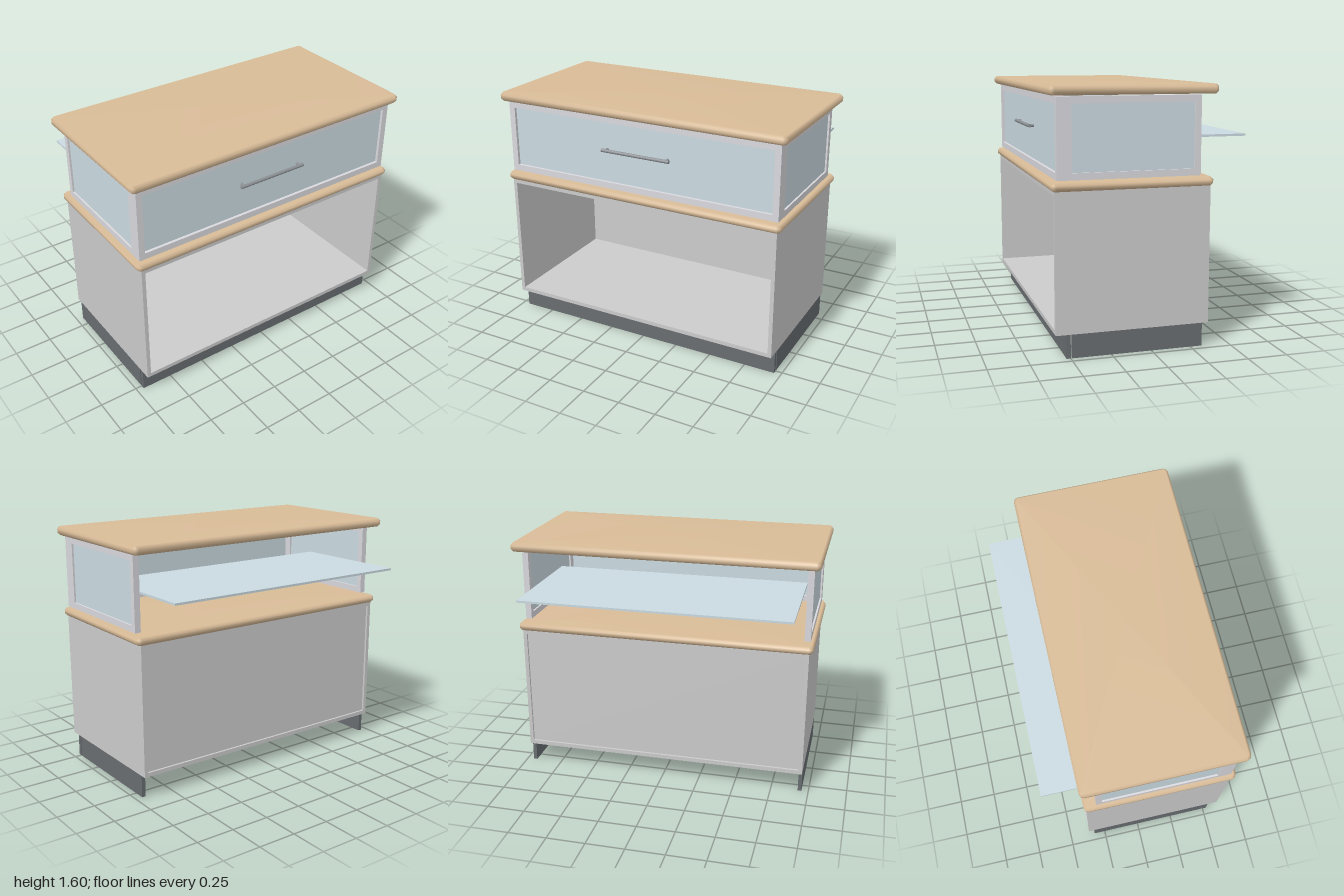
import * as THREE from 'three';
import { mergeVertices } from 'three/addons/utils/BufferGeometryUtils.js';

const mat = (color, side = THREE.FrontSide) => new THREE.MeshStandardMaterial({ color, side });
const wood = mat(0xd9bc98);
const body = mat(0xcccccc);
const frame = mat(0xd9d9de);
const glass = mat(0xcbdbe1);
const plinth = mat(0x686d70);
const steel = mat(0x8c9094);

// Box given by its limits on each axis
function box(parent, name, material, [x0, x1], [y0, y1], [z0, z1]) {
  const mesh = new THREE.Mesh(new THREE.BoxGeometry(x1 - x0, y1 - y0, z1 - z0), material);
  mesh.position.set((x0 + x1) / 2, (y0 + y1) / 2, (z0 + z1) / 2);
  mesh.name = name;
  parent.add(mesh);
  return mesh;
}

// Same box on the left (+x) and mirrored on the right (-x)
function pair(parent, name, material, [x0, x1], y, z) {
  box(parent, 'left' + name, material, [x0, x1], y, z);
  box(parent, 'right' + name, material, [-x1, -x0], y, z);
}

// Softly shaded board with rounded corners and chamfered edges:
// a 12-sided lathe whose quarter turns are pushed out to the four corners
function board(parent, name, halfW, [y0, y1], [z0, z1]) {
  const R = 0.03, c = 0.016;
  const profile = [[0, y0], [R - c, y0], [R, y0 + c], [R, y1 - c], [R - c, y1], [0, y1]]
    .map(([r, y]) => new THREE.Vector2(r, y));
  const geo = new THREE.LatheGeometry(profile, 12);
  const pos = geo.attributes.position;
  const halfD = (z1 - z0) / 2;
  for (let v = 0; v < pos.count; v++) {
    const i = Math.floor(v / profile.length) % 12;
    const p = profile[v % profile.length];
    const quarter = Math.floor(i / 3);
    const a = (quarter + (i % 3) / 2) * Math.PI / 2;
    const sx = quarter < 2 ? 1 : -1;
    const sz = quarter === 0 || quarter === 3 ? 1 : -1;
    const on = p.x > 0 ? 1 : 0;
    pos.setXYZ(v,
      on * sx * (halfW - R) + p.x * Math.sin(a), p.y,
      on * sz * (halfD - R) + p.x * Math.cos(a) + (z0 + z1) / 2);
  }
  geo.deleteAttribute('uv');
  geo.deleteAttribute('normal');
  const smooth = mergeVertices(geo, 1e-5);
  smooth.computeVertexNormals();
  const mesh = new THREE.Mesh(smooth, wood);
  mesh.name = name;
  parent.add(mesh);
}

function group(parent, name) {
  const g = new THREE.Group();
  g.name = name;
  parent.add(g);
  return g;
}

export function createModel() {
  const model = new THREE.Group();
  model.name = 'displayCounter';

  // Plinth, open at the back
  const base = group(model, 'plinth');
  box(base, 'frontKickboard', plinth, [-0.955, 0.955], [0, 0.145], [0.5, 0.525]);
  pair(base, 'Kickboard', plinth, [0.93, 0.955], [0, 0.145], [-0.325, 0.49]);

  // Open-fronted cabinet with a recessed back
  const cabinet = group(model, 'cabinet');
  const depth = [-0.365, 0.59];
  pair(cabinet, 'SidePanel', body, [0.93, 0.955], [0.145, 0.995], depth);
  box(cabinet, 'bottomPanel', body, [-0.93, 0.93], [0.145, 0.172], depth);
  box(cabinet, 'topPanel', body, [-0.93, 0.93], [0.968, 0.995], depth);
  box(cabinet, 'backPanel', body, [-0.93, 0.93], [0.172, 0.968], [-0.35, -0.33]);

  // Worktops
  board(model, 'lowerWorktop', 0.982, [0.995, 1.047], [-0.382, 0.61]);
  board(model, 'upperWorktop', 1, [1.54, 1.597], [-0.4, 0.62]);

  // Glazed case: rails, posts and panes
  const glazed = group(model, 'displayCase');
  const low = [1.057, 1.098], mid = [1.098, 1.493], high = [1.493, 1.534];
  const front = [0.52, 0.575], side = [-0.3, 0.52];
  for (const [name, y] of [['Bottom', low], ['Top', high]]) {
    box(glazed, 'front' + name + 'Rail', frame, [-0.955, 0.955], y, front);
    pair(glazed, 'Side' + name + 'Rail', frame, [0.915, 0.955], y, side);
  }
  pair(glazed, 'FrontPost', frame, [0.915, 0.955], mid, front);
  pair(glazed, 'MiddlePost', frame, [0.915, 0.955], mid, [0.485, 0.52]);
  pair(glazed, 'RearPost', frame, [0.915, 0.955], mid, [-0.3, -0.262]);
  box(glazed, 'frontPane', glass, [-0.915, 0.915], mid, [0.54, 0.556]);
  pair(glazed, 'SidePane', glass, [0.927, 0.943], mid, [-0.262, 0.485]);

  // Glass shelf pulled out at the back
  box(glazed, 'glassShelf', glass, [-0.875, 0.875], [1.276, 1.29], [-0.62, 0.2]);

  // Bar handle on two short posts
  const handle = group(model, 'handle');
  const bar = new THREE.Mesh(new THREE.CylinderGeometry(0.011, 0.011, 0.48, 16), steel);
  bar.rotation.z = Math.PI / 2;
  bar.position.set(0, 1.313, 0.588);
  bar.name = 'handleBar';
  handle.add(bar);
  for (const s of [-1, 1]) {
    const post = new THREE.Mesh(new THREE.CylinderGeometry(0.009, 0.009, 0.034, 12), steel);
    post.rotation.x = Math.PI / 2;
    post.position.set(s * 0.215, 1.313, 0.571);
    post.name = 'handlePost';
    handle.add(post);
  }
  return model;
}
